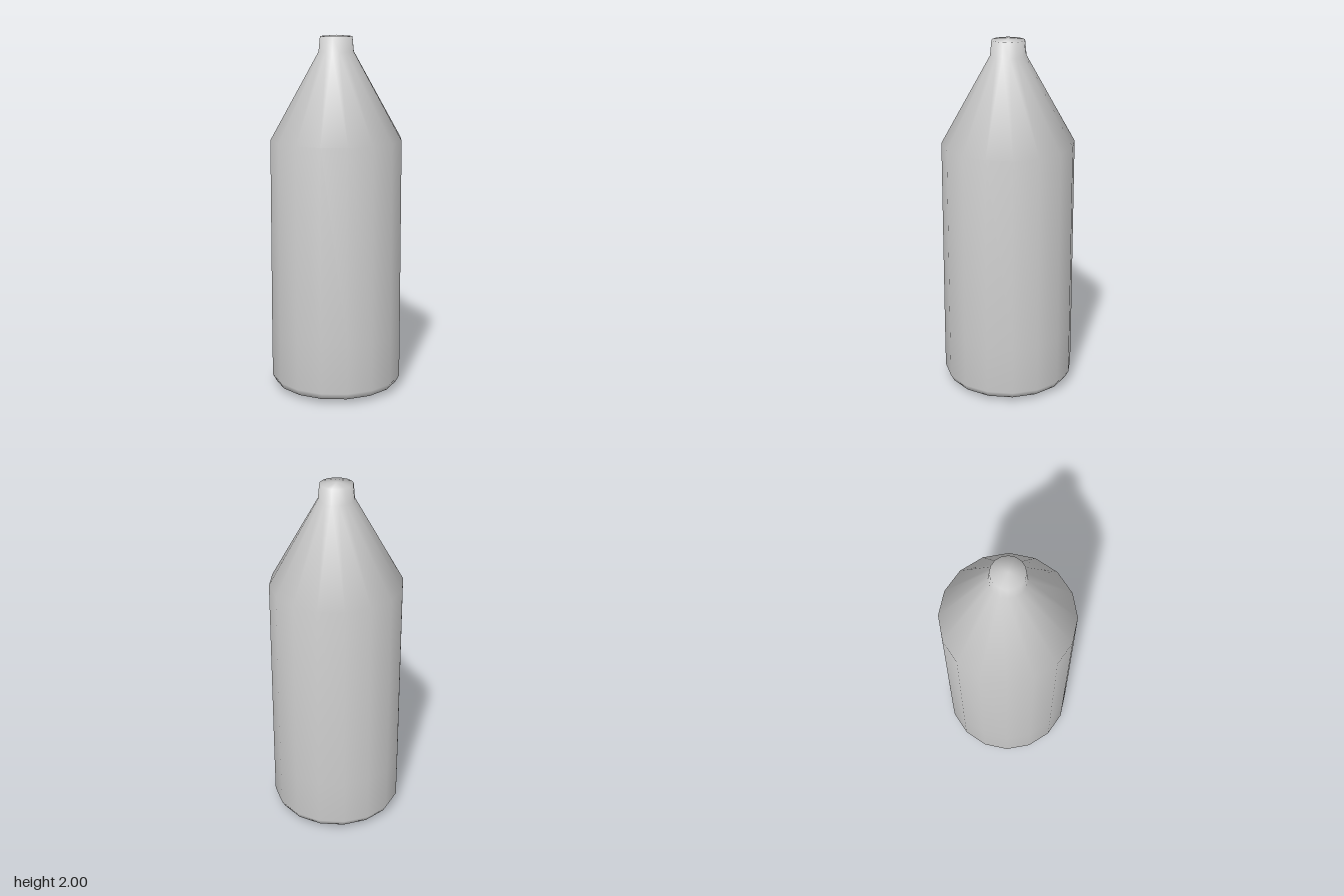
import * as THREE from 'three';
import { mergeVertices } from 'three/addons/utils/BufferGeometryUtils.js';

const SIDES = 16;

// Turn a profile of [radius, height] points into a smooth closed solid
function turned(profile) {
  const points = profile.map(([r, y]) => new THREE.Vector2(r, y));
  const lathe = new THREE.LatheGeometry(points, SIDES);
  // Weld the seam and the poles so the normals flow over them
  lathe.deleteAttribute('uv');
  lathe.deleteAttribute('normal');
  const welded = mergeVertices(lathe, 1e-4);
  welded.computeVertexNormals();
  return welded;
}

export function createModel() {
  const model = new THREE.Group();
  model.name = 'bottle';
  const material = new THREE.MeshStandardMaterial({ color: 0xcccccc });

  const bottle = new THREE.Mesh(turned([
    [0, 0],         // shallow pointed base
    [0.352, 0.028],
    [0.372, 0.065], // bevelled foot
    [0.372, 0.33],
    [0.368, 1.43],  // straight body
    [0.098, 1.91],  // conical shoulder
    [0.09, 1.993],  // short neck
    [0, 2],         // closed top
  ]), material);
  bottle.name = 'bottleBody';
  model.add(bottle);
  return model;
}
